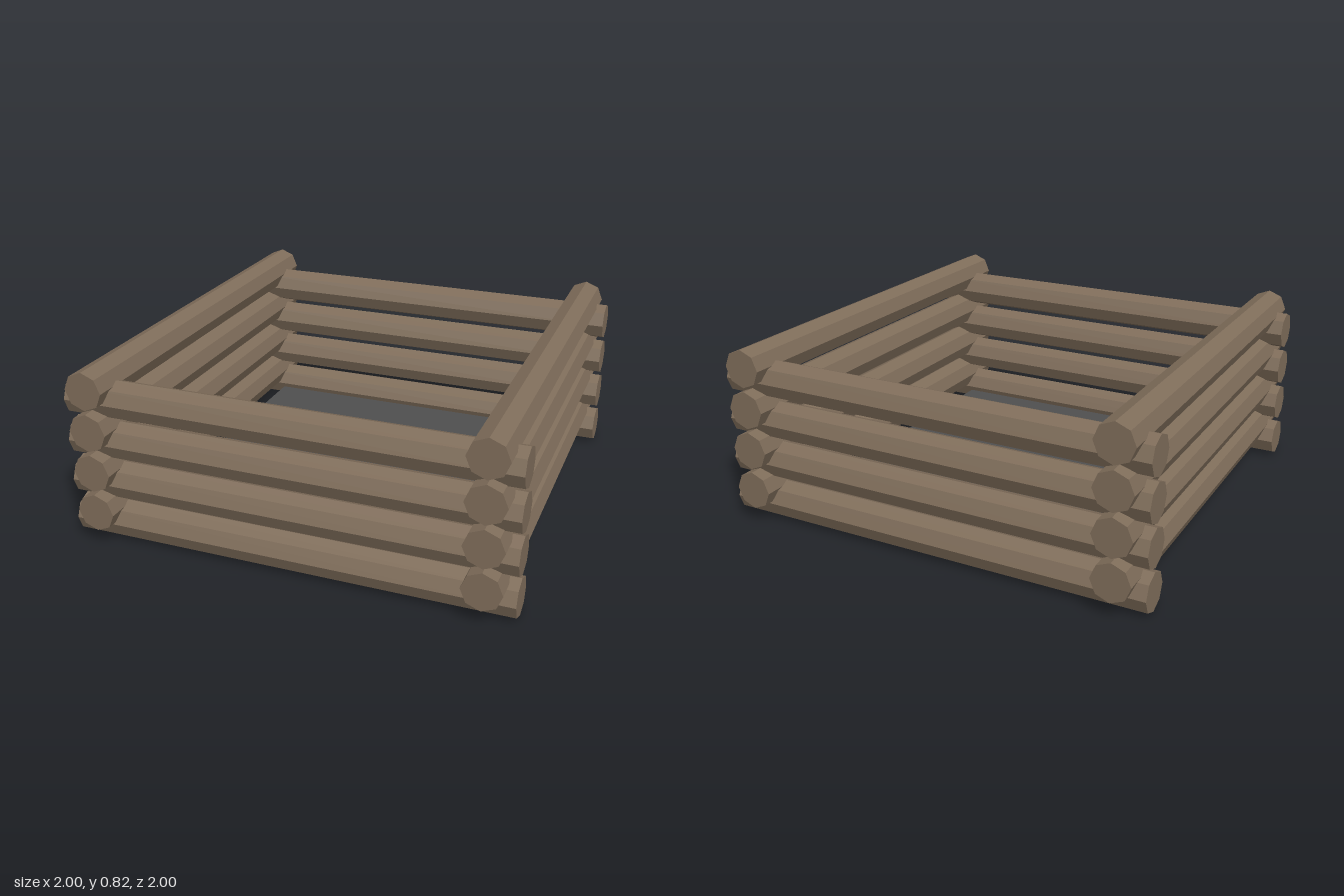
import * as THREE from 'three';

const RADIUS = 0.087;   // log radius
const OFFSET = 0.869;   // log axis distance from the centre
const STEP = 0.1917;    // rise between courses
const COURSES = 4;

export function createModel() {
  const group = new THREE.Group();
  group.name = 'logPit';

  const wood = new THREE.MeshStandardMaterial({ color: 0x7f6d5a, flatShading: true });
  wood.name = 'wood';
  const darkGrey = new THREE.MeshStandardMaterial({ color: 0x4f4f4f, flatShading: true });
  darkGrey.name = 'dark grey';

  // Octagonal logs, one lying along x and one along z
  const logX = new THREE.CylinderGeometry(RADIUS, RADIUS, 2, 8).rotateZ(Math.PI / 2);
  const logZ = new THREE.CylinderGeometry(RADIUS, RADIUS, 2, 8).rotateX(Math.PI / 2);

  const addLog = (name, geometry, x, y, z) => {
    const log = new THREE.Mesh(geometry, wood);
    log.name = name;
    log.position.set(x, y, z);
    group.add(log);
  };

  // Courses of crossing logs, side logs resting higher than front and back ones
  for (let i = 0; i < COURSES; i++) {
    const low = RADIUS + i * STEP;
    const high = 0.159 + i * STEP;
    addLog(`frontLog${i + 1}`, logX, 0, low, OFFSET);
    addLog(`backLog${i + 1}`, logX, 0, low, -OFFSET);
    addLog(`leftLog${i + 1}`, logZ, OFFSET, high, 0);
    addLog(`rightLog${i + 1}`, logZ, -OFFSET, high, 0);
  }

  // Floor slab between the walls
  const floor = new THREE.Mesh(new THREE.BoxGeometry(1.565, 0.042, 1.565), darkGrey);
  floor.name = 'floor';
  floor.position.y = 0.046;
  group.add(floor);

  return group;
}
